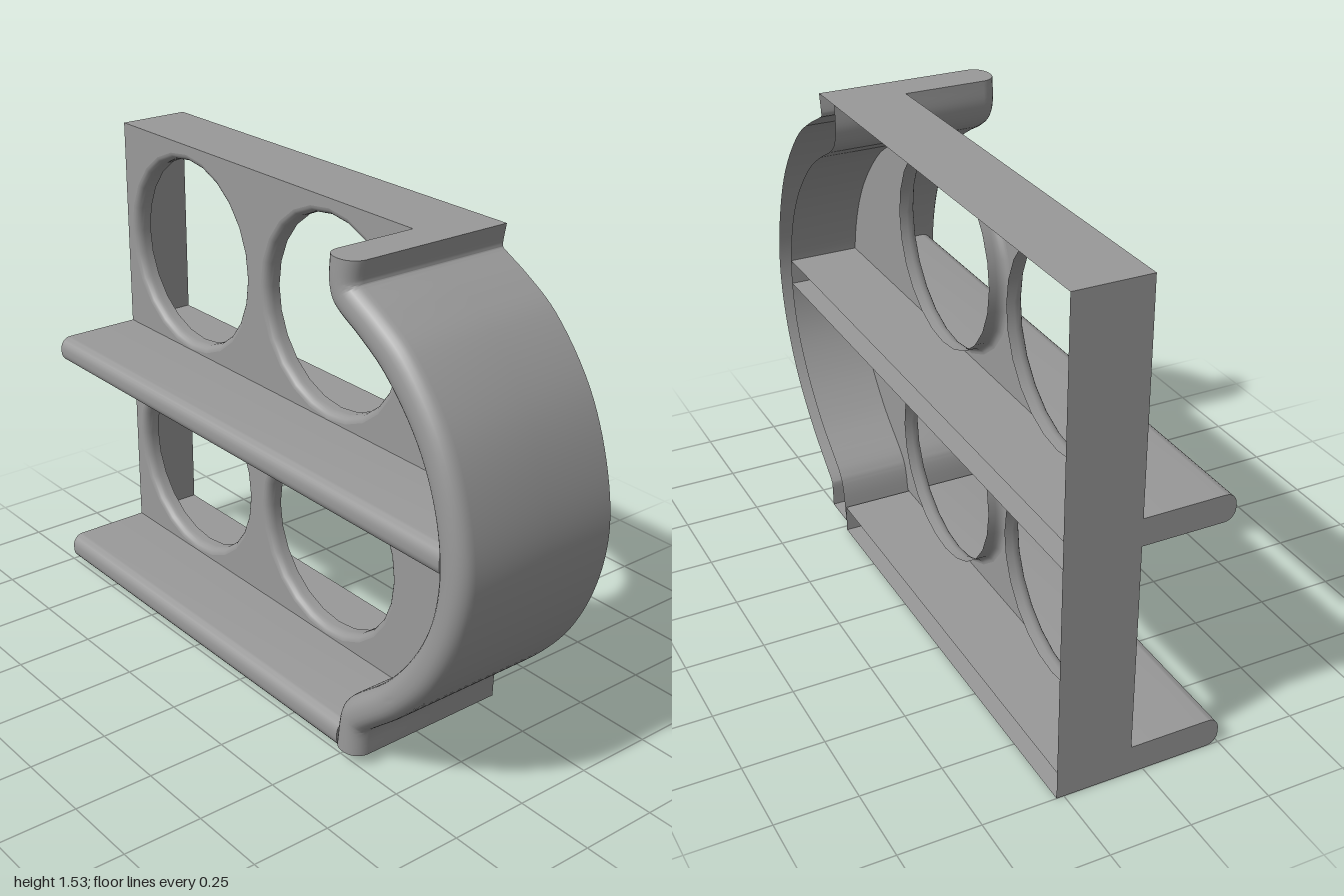
import * as THREE from 'three';
import { toCreasedNormals } from 'three/addons/utils/BufferGeometryUtils.js';

const BACK = -0.273, FACE = -0.04, LEFT = -1, TOP = 1.53;
const material = new THREE.MeshStandardMaterial({ color: 0x999999, side: THREE.DoubleSide });

// Paired rows: outer x, outer y, inner x, inner y, from the top of the band to its foot
const bandRows = [
  [0.55, 1.53, 0.43, 1.53], [0.539, 1.467, 0.428, 1.45], [0.541, 1.46, 0.446, 1.397],
  [0.56, 1.449, 0.475, 1.37], [0.64, 1.407, 0.56, 1.322], [0.75, 1.333, 0.66, 1.253],
  [0.89, 1.163, 0.79, 1.105], [0.97, 0.97, 0.862, 0.95], [1.0, 0.78, 0.888, 0.78],
  [0.97, 0.595, 0.862, 0.615], [0.885, 0.412, 0.785, 0.463], [0.755, 0.258, 0.67, 0.325],
  [0.602, 0.125, 0.52, 0.198], [0.598, 0.117, 0.5, 0.158], [0.594, 0.037, 0.48, 0.037],
];
const curve = (i) => new THREE.CatmullRomCurve3(bandRows.map((r) => new THREE.Vector3(r[i], r[i + 1], 0)));
const STEPS = 84;
const sample = (c) => Array.from({ length: STEPS + 1 }, (_, i) => c.getPoint(i / STEPS));
const outer = sample(curve(0)), inner = sample(curve(2));

function addMesh(group, name, geometry) {
  const mesh = new THREE.Mesh(geometry, material);
  mesh.name = name;
  group.add(mesh);
  return mesh;
}

// Open skin through equally long rows of points
function loft(rows) {
  const n = rows[0].length, index = [];
  for (let i = 0; i < rows.length - 1; i++) {
    for (let j = 0; j < n - 1; j++) {
      const a = i * n + j, b = a + n;
      index.push(a, a + 1, b, b, a + 1, b + 1);
    }
  }
  const g = new THREE.BufferGeometry().setFromPoints(rows.flat());
  g.setIndex(index);
  return toCreasedNormals(g, 0.6);
}

// Open-backed U section with a rounded nose: [across 0..1, z]
function noseProfile(front, round, share) {
  const p = [[0, BACK], [0, FACE]];
  for (let i = 0; i <= 6; i++) {
    const a = (i / 6) * Math.PI / 2;
    p.push([share * (1 - Math.cos(a)), front - round * (1 - Math.sin(a))]);
  }
  return p.concat(p.slice().reverse().map(([u, z]) => [1 - u, z]));
}

// Flat cap closing an end; points must run around its outline
function cap(points, toPlane, fromPlane) {
  const g = new THREE.ShapeGeometry(new THREE.Shape(points.map(toPlane)));
  const pos = g.attributes.position;
  for (let i = 0; i < pos.count; i++) {
    const v = fromPlane(pos.getX(i), pos.getY(i));
    pos.setXYZ(i, v.x, v.y, v.z);
  }
  g.computeVertexNormals();
  return g;
}

function addShelf(group, name, y0, y1, right) {
  const profile = noseProfile(0.247, 0.035, 0.42);
  const row = (x) => profile.map(([u, z]) => new THREE.Vector3(x, y1 + (y0 - y1) * u, z));
  addMesh(group, name, loft([row(LEFT), row(right)]));
  for (const x of [LEFT, right]) {
    addMesh(group, name + 'End', cap(row(x), (p) => new THREE.Vector2(p.z, p.y),
      (a, b) => new THREE.Vector3(x, b, a)));
  }
}

function addBand(group) {
  const profile = noseProfile(0.273, 0.05, 0.45);
  const rows = outer.map((o, i) => profile.map(([u, z]) => {
    const p = inner[i].clone().lerp(o, u);
    p.z = z;
    return p;
  }));
  addMesh(group, 'curvedBand', loft(rows));
  for (const [name, row] of [['bandTop', rows[0]], ['bandFoot', rows[STEPS]]]) {
    const y = row[0].y;
    addMesh(group, name, cap(row, (p) => new THREE.Vector2(p.x, p.z),
      (a, b) => new THREE.Vector3(a, y, b)));
  }
}

// Face panel of one bay, ending on the band and pierced by two holes with rolled rims
function addBay(group, name, y0, y1, holeY) {
  const edge = inner.filter((p) => p.y > y0 + 0.004 && p.y < y1 - 0.004);
  const xAt = (y) => inner.reduce((m, p) => (Math.abs(p.y - y) < Math.abs(m.y - y) ? p : m)).x;
  const shape = new THREE.Shape([
    new THREE.Vector2(LEFT, y1), new THREE.Vector2(xAt(y1), y1),
    ...edge.map((p) => new THREE.Vector2(p.x, p.y)),
    new THREE.Vector2(xAt(y0), y0), new THREE.Vector2(LEFT, y0),
  ]);
  const rim = [];
  for (let i = 0; i <= 5; i++) {
    const a = (i / 5) * Math.PI / 2;
    rim.push(new THREE.Vector2(0.328 - 0.023 * Math.sin(a), -0.03 * (1 - Math.cos(a))));
  }
  rim.push(new THREE.Vector2(0.305, -0.055));
  for (const x of [-0.645, 0.07]) {
    shape.holes.push(new THREE.Path().absarc(x, holeY, 0.328, 0, Math.PI * 2, true));
    const geometry = new THREE.LatheGeometry(rim, 24).rotateX(Math.PI / 2);
    addMesh(group, 'holeRim', geometry).position.set(x, holeY, FACE);
  }
  addMesh(group, name, new THREE.ShapeGeometry(shape, 12)).position.z = FACE;
}

export function createModel() {
  const group = new THREE.Group();
  group.name = 'rackPanel';

  addBay(group, 'upperPanel', 0.84, TOP, 1.171);
  addBay(group, 'lowerPanel', 0.09, 0.755, 0.4225);
  addShelf(group, 'middleShelf', 0.755, 0.84, 0.886);
  addShelf(group, 'bottomShelf', 0, 0.09, 0.478);
  addBand(group);

  // Thin top and side walls behind the face
  const depth = FACE - BACK, midZ = (FACE + BACK) / 2;
  const topWall = addMesh(group, 'topWall', new THREE.PlaneGeometry(1.43, depth).rotateX(-Math.PI / 2));
  topWall.position.set(LEFT + 0.715, TOP, midZ);
  const sideWall = addMesh(group, 'sideWall', new THREE.PlaneGeometry(depth, TOP).rotateY(-Math.PI / 2));
  sideWall.position.set(LEFT, TOP / 2, midZ);
  return group;
}
